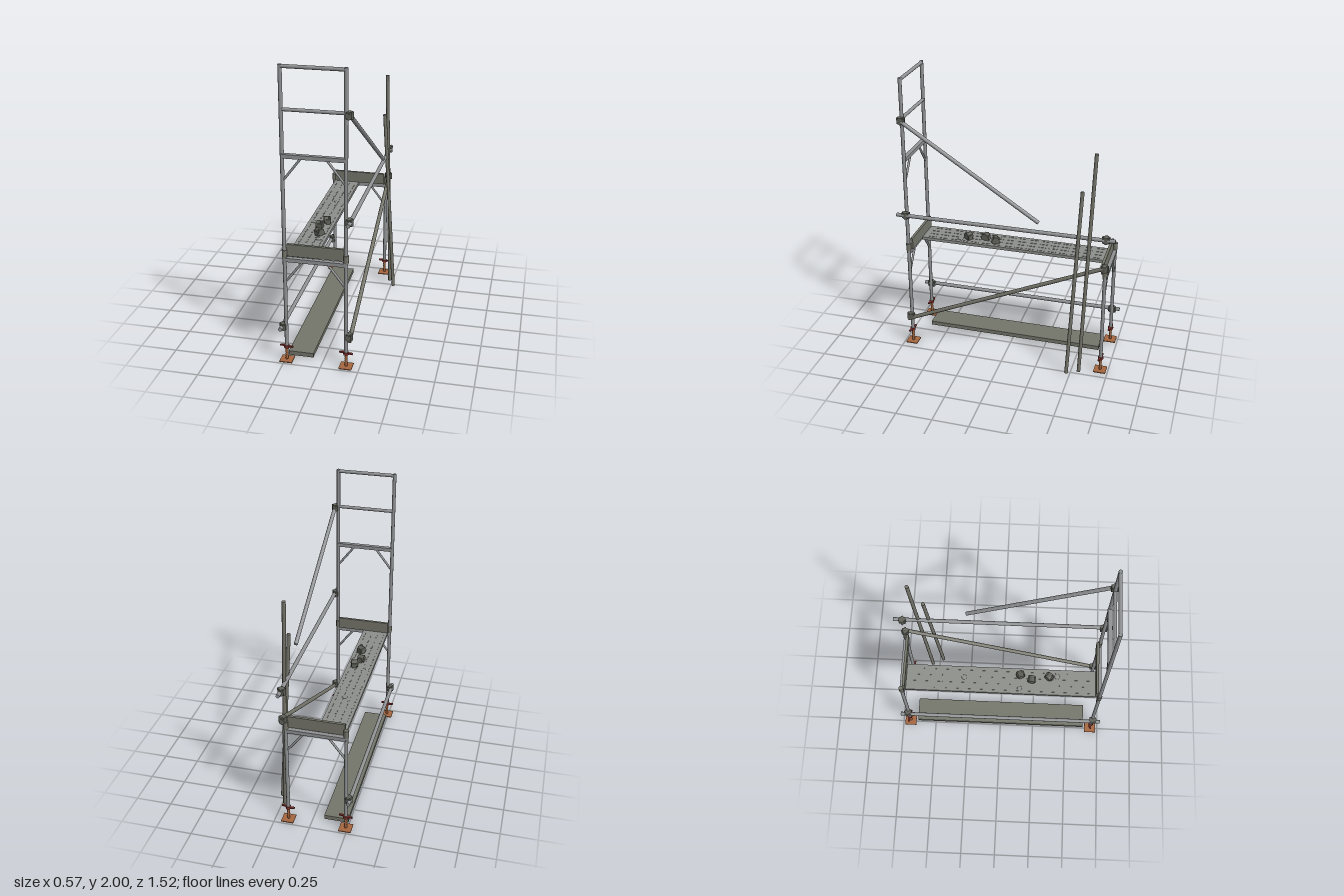
import * as THREE from 'three';

const mat = (name, color) => {
  const m = new THREE.MeshStandardMaterial({ color });
  m.name = name;
  return m;
};

export function createModel() {
  const steel = mat('galvanised steel', 0x8f9193);
  const weathered = mat('weathered steel', 0x74746a);
  const darkSteel = mat('dark coupler steel', 0x62625b);
  const deckGrey = mat('deck grey', 0x8d8f8b);
  const timber = mat('grey timber', 0x74756a);
  const rust = mat('rusty jack', 0xa5663f);
  const red = mat('red nut', 0x84302a);

  const model = new THREE.Group();
  model.name = 'scaffold';
  const XL = -0.238, XR = 0.161, Z = 0.695, MID = (XL + XR) / 2;

  const add = (parent, name, geo, material, x = 0, y = 0, z = 0) => {
    const mesh = new THREE.Mesh(geo, material);
    mesh.name = name;
    mesh.position.set(x, y, z);
    parent.add(mesh);
    return mesh;
  };
  const box = (parent, name, size, material, pos) =>
    add(parent, name, new THREE.BoxGeometry(...size), material, ...pos);

  // Round tube between two points
  const up = new THREE.Vector3(0, 1, 0);
  const tube = (parent, name, from, to, r, material) => {
    const a = new THREE.Vector3(...from), b = new THREE.Vector3(...to);
    const dir = b.clone().sub(a);
    const mesh = add(parent, name, new THREE.CylinderGeometry(r, r, dir.length(), 14), material);
    mesh.position.copy(a).add(b).multiplyScalar(0.5);
    mesh.quaternion.setFromUnitVectors(up, dir.normalize());
    return mesh;
  };

  // Screw jack: base plate, threaded rod, winged nut
  const thread = [new THREE.Vector2(0, 0)];
  for (let i = 0; i <= 16; i++) thread.push(new THREE.Vector2(i % 2 ? 0.0105 : 0.008, i * 0.0075));
  thread.push(new THREE.Vector2(0, 0.12));
  const jackRod = new THREE.LatheGeometry(thread, 12);
  const addJack = (x, z) => {
    const jack = new THREE.Group();
    jack.name = 'screwJack';
    jack.position.set(x, 0, z);
    box(jack, 'basePlate', [0.085, 0.006, 0.085], rust, [0, 0.003, 0]);
    add(jack, 'threadedRod', jackRod, rust, 0, 0.006, 0);
    add(jack, 'nut', new THREE.CylinderGeometry(0.019, 0.019, 0.018, 8), red, 0, 0.1, 0);
    for (const s of [-1, 1]) {
      const wing = box(jack, 'nutWing', [0.034, 0.01, 0.013], red, [s * 0.029, 0.104, s * 0.006]);
      wing.rotation.y = -s * 0.12;
    }
    model.add(jack);
  };

  // Braced transom with a knee brace at each post
  const addTransom = (frame, y, z) => {
    box(frame, 'transom', [XR - XL, 0.026, 0.03], steel, [MID, y, z]);
    for (const s of [-1, 1]) {
      const px = s < 0 ? XL : XR;
      tube(frame, 'kneeBrace', [px, y - 0.165, z], [px - s * 0.118, y - 0.01, z], 0.008, steel);
    }
  };

  // End frames: tall at the front, low at the back
  for (const [z, top] of [[Z, 2], [-Z, 0.8]]) {
    const frame = new THREE.Group();
    frame.name = z > 0 ? 'tallFrame' : 'lowFrame';
    for (const x of [XL, XR]) {
      addJack(x, z);
      tube(frame, 'post', [x, 0.11, z], [x, top, z], 0.0125, steel);
      tube(frame, 'postCollar', [x, 0.75, z], [x, 0.802, z], 0.0165, weathered);
    }
    addTransom(frame, 0.737, z);
    if (z > 0) {
      addTransom(frame, 1.432, z);
      tube(frame, 'guardRail', [XL, 1.725, z], [XR, 1.725, z], 0.0115, steel);
      tube(frame, 'topRail', [XL, 1.988, z], [XR, 1.988, z], 0.012, steel);
    }
    box(frame, 'toeBoard', [0.378, 0.082, 0.018], timber, [MID, 0.795, Math.sign(z) * 0.676]);
    model.add(frame);
  }

  // Long rails and diagonals
  tube(model, 'lowerLedger', [-0.265, 0.25, 0.748], [-0.265, 0.25, -0.748], 0.0135, steel);
  tube(model, 'upperLedger', [0.187, 1.03, 0.758], [0.187, 1.03, -0.758], 0.0135, steel);
  tube(model, 'diagonalBrace', [0.187, 0.2, 0.715], [0.187, 0.832, -0.715], 0.0135, weathered);
  tube(model, 'looseDiagonal', [0.187, 1.715, 0.7], [0.216, 1.113, -0.25], 0.0135, steel);

  // Spare poles leaning against the back corner
  tube(model, 'leaningPole', [0.23, 0.008, -0.555], [0.175, 1.62, -0.608], 0.0125, weathered);
  tube(model, 'leaningPole', [0.27, 0.008, -0.475], [0.175, 1.35, -0.527], 0.0125, weathered);

  // Couplers: clamp body, diamond collar and bolt
  const addCoupler = (x, y, z) => {
    const c = new THREE.Group();
    c.name = 'coupler';
    c.position.set(x, y, z);
    box(c, 'clampBody', [0.036, 0.034, 0.046], darkSteel, [0, 0, 0]);
    add(c, 'clampCollar', new THREE.CylinderGeometry(0.028, 0.028, 0.046, 4), darkSteel);
    const bolt = add(c, 'clampBolt', new THREE.CylinderGeometry(0.006, 0.006, 0.056, 6), darkSteel, 0, 0.012, 0);
    bolt.rotation.x = Math.PI / 2;
    model.add(c);
  };
  for (const s of [-1, 1]) {
    addCoupler(-0.255, 0.25, s * Z);
    addCoupler(0.18, 1.03, s * Z);
  }
  addCoupler(0.18, 0.225, Z);
  addCoupler(0.18, 1.715, Z);
  addCoupler(0.18, 0.815, -Z);

  // Steel deck with rows of low raised treads
  const deck = new THREE.Group();
  deck.name = 'deck';
  const deckX = -0.135;
  box(deck, 'deckPlate', [0.186, 0.022, 1.342], deckGrey, [deckX, 0.745, 0]);
  for (let row = 0; row < 4; row++) {
    for (let i = 0; i < 16; i++) {
      box(deck, 'deckTread', [0.008, 0.003, 0.055], deckGrey,
        [deckX - 0.069 + row * 0.046, 0.757, -0.6 + i * 0.08]);
    }
  }
  for (const [x, z, r] of [[-0.122, -0.26, 0.018], [-0.187, 0.133, 0.017], [-0.09, 0.395, 0.02]]) {
    const splash = add(deck, 'mortarSplash', new THREE.SphereGeometry(r, 12, 8), deckGrey, x, 0.756, z);
    splash.scale.y = 0.3;
  }
  model.add(deck);

  // Loose clamps lying on the deck
  for (const [x, z, turn] of [[-0.095, 0.137, 0.35], [-0.127, 0.217, -0.1], [-0.102, 0.338, -0.6]]) {
    const clamp = new THREE.Group();
    clamp.name = 'looseClamp';
    clamp.position.set(x, 0.782, z);
    clamp.rotation.y = turn;
    const shell = add(clamp, 'clampShell', new THREE.CylinderGeometry(0.026, 0.026, 0.046, 6), darkSteel);
    shell.rotation.z = Math.PI / 2;
    box(clamp, 'clampJaw', [0.032, 0.034, 0.056], darkSteel, [0.004, -0.005, 0]);
    tube(clamp, 'clampBolt', [0.012, -0.02, 0.014], [0.012, 0.029, 0.014], 0.006, weathered);
    model.add(clamp);
  }

  // Timber board lying on the ground
  box(model, 'groundPlank', [0.168, 0.03, 1.276], timber, [-0.158, 0.015, 0]);

  return model;
}
